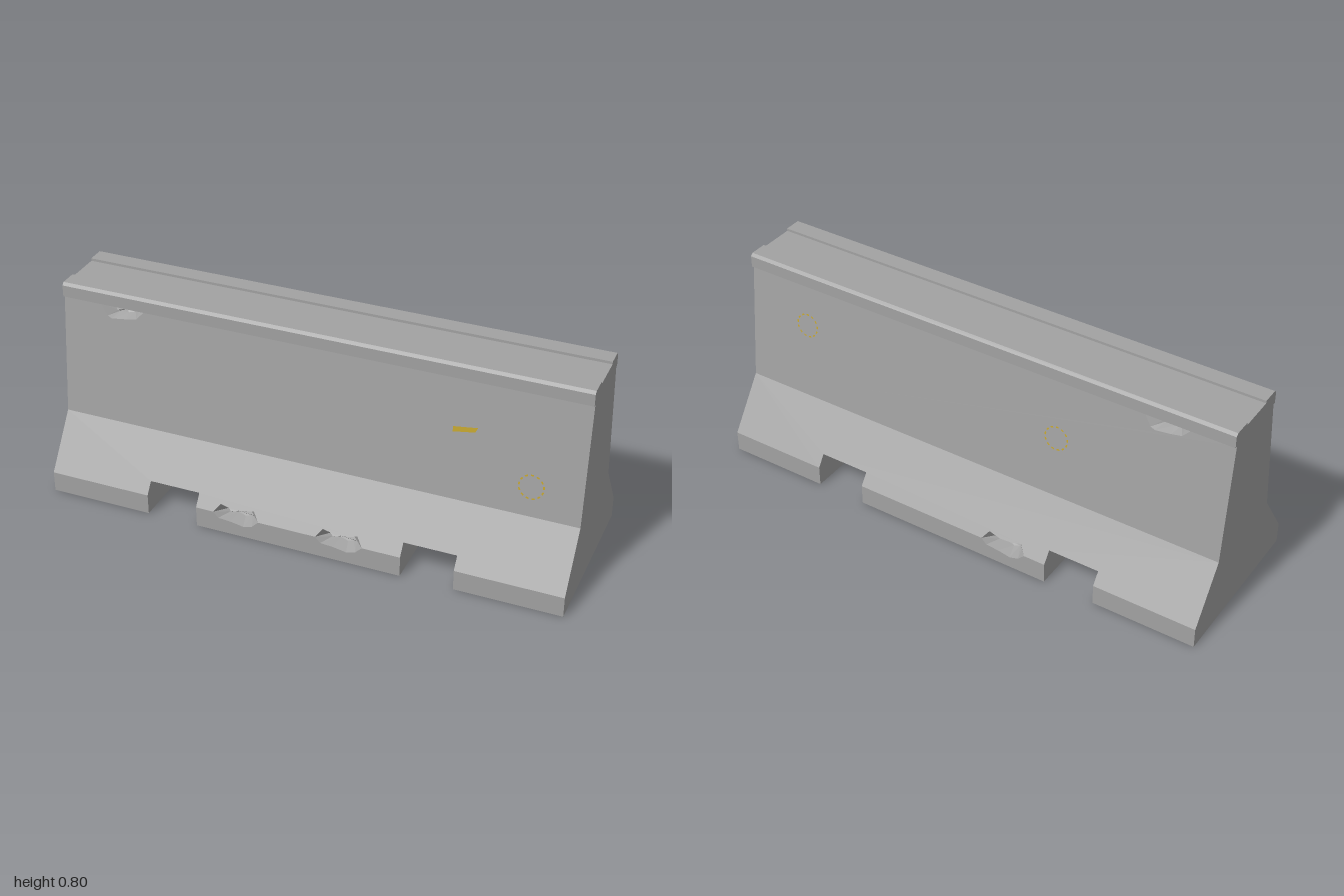
import * as THREE from 'three';

const concrete = new THREE.MeshStandardMaterial({ color: 0xa2a2a2, side: THREE.DoubleSide, flatShading: true });
concrete.name = 'concrete';
const yellow = new THREE.MeshStandardMaterial({ color: 0xc2a42e, side: THREE.DoubleSide });
yellow.name = 'yellowPaint';

// Half depth of the barrier at height y: foot, slope, wall
const profile = [[0.325, 0], [0.325, 0.08], [0.185, 0.28], [0.135, 0.745]];
const SLOT = 0.125;
function depthAt(y) {
  for (let i = 1; i < profile.length; i++) {
    const [z0, y0] = profile[i - 1], [z1, y1] = profile[i];
    if (y <= y1) return z0 + (z1 - z0) * (y - y0) / (y1 - y0);
  }
  return 0.135;
}

function mesh(parent, name, geometry, material = concrete) {
  const m = new THREE.Mesh(geometry, material);
  m.name = name;
  parent.add(m);
  return m;
}
const shapeOf = pts => new THREE.Shape(pts.map(p => new THREE.Vector2(p[0], p[1])));

// Flat outline in x and y, laid onto the barrier face
function panel(parent, name, pts, material = concrete, lift = 0) {
  const g = new THREE.ShapeGeometry(shapeOf(pts));
  const p = g.attributes.position;
  for (let i = 0; i < p.count; i++) p.setZ(i, depthAt(p.getY(i)) + lift);
  g.computeVertexNormals();
  return mesh(parent, name, g, material);
}

// Broken-out hollow: rim on the face, smaller ring pushed inwards, closed floor
function pit(parent, name, rim, cx, cy, z, sx, sy) {
  const outer = rim.map(([x, y]) => [x, y, depthAt(y)]);
  const inner = rim.map(([x, y], i) =>
    [cx + (x - cx) * sx, cy + (y - cy) * sy, z + (i % 2) * 0.008]);
  const pos = [];
  rim.forEach((_, i) => {
    const j = (i + 1) % rim.length;
    pos.push(...outer[i], ...outer[j], ...inner[j]);
    pos.push(...outer[i], ...inner[j], ...inner[i]);
    pos.push(...inner[i], ...inner[j], cx, cy, z);
  });
  const g = new THREE.BufferGeometry();
  g.setAttribute('position', new THREE.Float32BufferAttribute(pos, 3));
  g.computeVertexNormals();
  mesh(parent, name, g);
}

// Chip rims, x relative to the chip centre, each listed left to right
const chipHigh = [[-0.09, 0.08], [-0.068, 0.108], [-0.02, 0.1], [0.03, 0.102], [0.065, 0.11], [0.09, 0.08]];
const chipLow = [[-0.09, 0.08], [-0.07, 0.058], [-0.02, 0.054], [0.03, 0.045], [0.065, 0.055], [0.09, 0.08]];
const chipTop = [[-0.09, 0.745], [-0.062, 0.7], [-0.045, 0.692], [0.015, 0.7], [0.055, 0.708], [0.09, 0.745]];
const at = (pts, cx) => pts.map(([x, y]) => [x + cx, y]);

function dashedRing(parent, cx, cy, r) {
  const n = 13, w = 0.003;
  for (let i = 0; i < n; i++) {
    const a = i / n * Math.PI * 2, b = a + Math.PI / n;
    const pt = (t, rad) => [cx + Math.cos(t) * rad, cy + Math.sin(t) * rad];
    panel(parent, 'ringDash', [pt(a, r - w), pt(a, r + w), pt(b, r + w), pt(b, r - w)], yellow, 0.002);
  }
}

// One long face; edgeChips sit on the foot edge, topChip under the cap
function longSide(name, edgeChips, topChip) {
  const g = new THREE.Group();
  g.name = name;
  for (const s of [-1, 1]) {
    panel(g, 'footFace', [[s * 0.6, 0], [s, 0], [s, 0.08], [s * 0.6, 0.08]]);
  }
  const low = edgeChips.flatMap(c => at(chipLow, c)).reverse();
  panel(g, 'middleFootFace', [[-0.4, 0], [0.4, 0], [0.4, 0.08], ...low, [-0.4, 0.08]]);

  const high = edgeChips.flatMap(c => at(chipHigh, c));
  panel(g, 'slopeFace', [
    [-1, 0.08], [-0.6, 0.08], [-0.6, SLOT], [-0.4, SLOT], [-0.4, 0.08], ...high,
    [0.4, 0.08], [0.4, SLOT], [0.6, SLOT], [0.6, 0.08], [1, 0.08], [1, 0.28], [-1, 0.28]]);

  const top = at(chipTop, topChip);
  panel(g, 'wallFace', [[-1, 0.28], [1, 0.28], [1, 0.745], ...[...top].reverse(), [-1, 0.745]]);

  for (const c of edgeChips) {
    const rim = [...at(chipLow, c), ...at(chipHigh, c).slice(1, -1).reverse()];
    pit(g, 'footChip', rim, c, 0.066, 0.268, 0.6, 0.3);
  }
  pit(g, 'capChip', top, topChip, 0.722, 0.1, 0.6, 0.45);
  return g;
}

// Cross-section face standing across the barrier at x
function crossFace(parent, name, half, x, facing) {
  const pts = [...half, ...half.map(([z, y]) => [-z, y]).reverse()];
  const g = new THREE.ShapeGeometry(shapeOf(pts));
  g.rotateY(facing * Math.PI / 2);
  mesh(parent, name, g).position.x = x;
}

// Level face looking down
function underFace(parent, name, x, y, width, depth) {
  const g = new THREE.PlaneGeometry(width, depth);
  g.rotateX(Math.PI / 2);
  mesh(parent, name, g).position.set(x, y, 0);
}

export function createModel() {
  const barrier = new THREE.Group();
  barrier.name = 'concreteBarrier';

  // Long faces
  const front = longSide('frontSide', [-0.24, 0.165], -0.76);
  const back = longSide('backSide', [0.225], 0.75);
  back.rotation.y = Math.PI;
  barrier.add(front, back);

  // Ends, drainage slots and underside
  const slotProfile = [profile[0], profile[1], [depthAt(SLOT), SLOT]];
  for (const s of [-1, 1]) {
    crossFace(barrier, 'endFace', profile, s, s);
    crossFace(barrier, 'slotWall', slotProfile, s * 0.4, s);
    crossFace(barrier, 'slotWall', slotProfile, s * 0.6, -s);
    underFace(barrier, 'slotCeiling', s * 0.5, SLOT, 0.2, depthAt(SLOT) * 2);
    underFace(barrier, 'footUnderside', s * 0.8, 0, 0.4, 0.65);
  }
  underFace(barrier, 'middleUnderside', 0, 0, 0.8, 0.65);

  // Cap with bevelled edges and a shallow groove along the top
  const capHalf = [[0.145, 0.745], [0.145, 0.79], [0.135, 0.8], [0.07, 0.8], [0.07, 0.79]];
  const cap = new THREE.ExtrudeGeometry(
    shapeOf([...capHalf, ...capHalf.map(([z, y]) => [-z, y]).reverse()]),
    { depth: 2, bevelEnabled: false });
  cap.rotateY(Math.PI / 2);
  cap.translate(-1, 0, 0);
  mesh(barrier, 'cap', cap);

  // Painted marks
  panel(front, 'paintStripe', [[0.52, 0.54], [0.6, 0.553], [0.61, 0.572], [0.52, 0.56]], yellow, 0.002);
  dashedRing(front, 0.815, 0.395, 0.045);
  dashedRing(back, -0.745, 0.58, 0.045);
  dashedRing(back, 0.34, 0.515, 0.045);

  return barrier;
}
